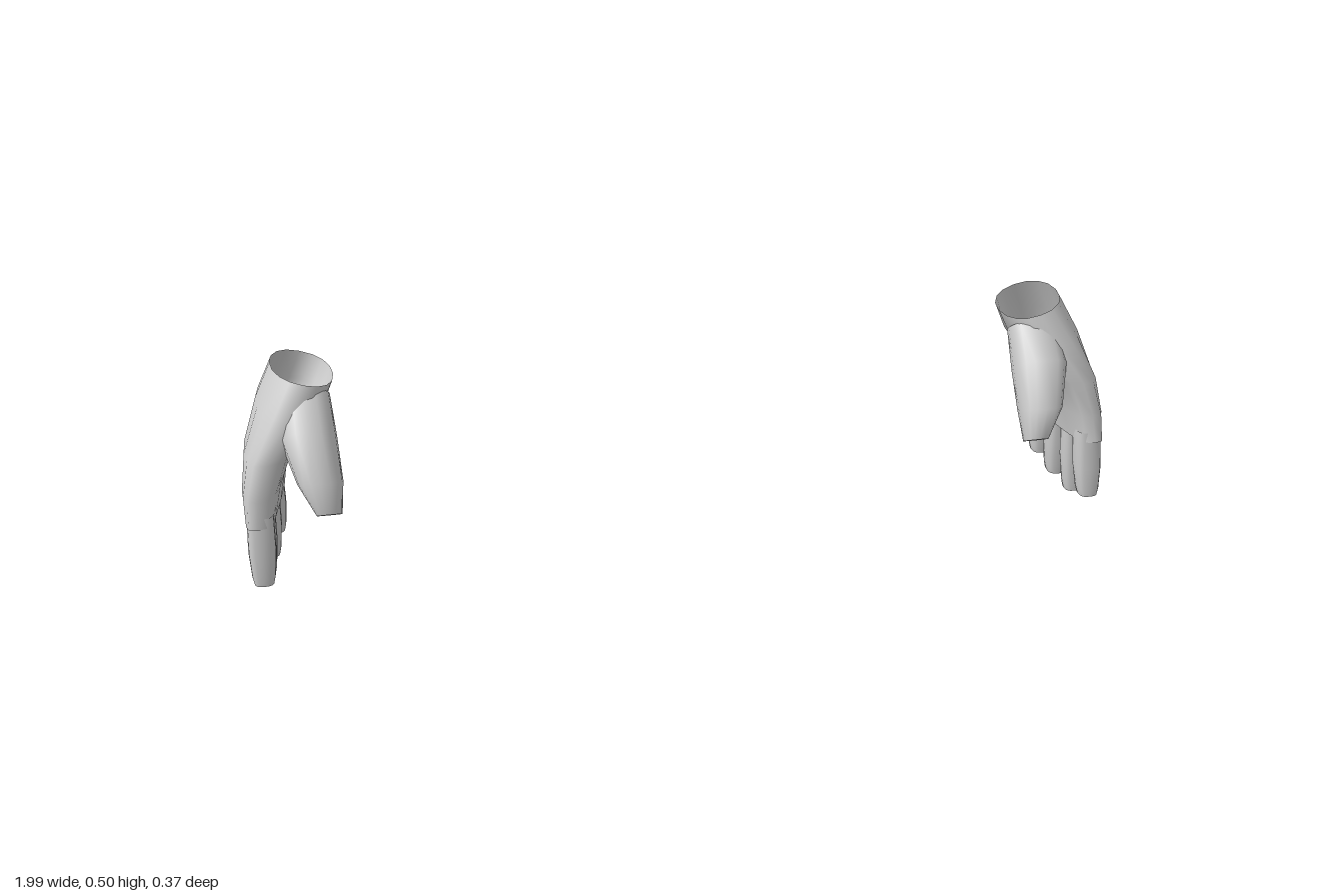
import * as THREE from 'three';

const SEG = 16;
const material = new THREE.MeshStandardMaterial({ color: 0xcccccc, side: THREE.DoubleSide });

// Rounded-square cross-section; p = 1 is an ellipse, smaller p is boxier.
const bend = (t, p) => Math.sign(t) * Math.pow(Math.abs(t), p);
function ring(p, place) {
  return Array.from({ length: SEG }, (_, i) => {
    const a = (i / SEG) * Math.PI * 2;
    return place(bend(Math.cos(a), p), bend(Math.sin(a), p));
  });
}

// Skin a run of rings (top to bottom) and close the last one with a flat cap.
function loft(name, rings, side) {
  const pos = [], index = [];
  const put = (v) => pos.push(v.x * side, v.y, v.z);
  const tri = (a, b, c) => (side > 0 ? index.push(a, b, c) : index.push(a, c, b));
  rings.forEach((r) => r.forEach(put));
  for (let j = 0; j < rings.length - 1; j++) {
    for (let i = 0; i < SEG; i++) {
      const a = j * SEG + i, b = j * SEG + ((i + 1) % SEG);
      tri(a, b, a + SEG);
      tri(b, b + SEG, a + SEG);
    }
  }
  const last = rings[rings.length - 1];
  const start = pos.length / 3;
  last.forEach(put);
  const mid = last.reduce((s, v) => s.add(v), new THREE.Vector3()).divideScalar(SEG);
  put(mid);
  for (let i = 0; i < SEG; i++) tri(start + i, start + ((i + 1) % SEG), start + SEG);
  const geo = new THREE.BufferGeometry();
  geo.setAttribute('position', new THREE.Float32BufferAttribute(pos, 3));
  geo.setIndex(index);
  geo.computeVertexNormals();
  const mesh = new THREE.Mesh(geo, material);
  mesh.name = name;
  return mesh;
}

// Palm sections: y, inner x, outer x, back z, front z, boxiness, lean of x with z, slope of y with x, slope of y with z
const PALM = [
  [0.482, 0.775, 0.912, -0.162, 0.035, 0.9, 0.0, 0.3, 0.04],
  [0.41, 0.805, 0.95, -0.175, 0.068, 0.85, 0.05, 0.2, 0.02],
  [0.325, 0.87, 0.982, -0.187, 0.092, 0.75, 0.1, 0, 0],
  [0.24, 0.9, 0.988, -0.186, 0.105, 0.65, 0.14, 0, 0.03],
  [0.172, 0.914, 0.982, -0.18, 0.118, 0.55, 0.15, 0, 0.07],
];

// Thumb sections: centre x, y, z, half width in x, half width across, direction across (y, z)
const THUMB = [
  [0.845, 0.435, -0.02, 0.058, 0.058, 0.6, 0.8],
  [0.842, 0.362, 0.05, 0.062, 0.064, 0.6, 0.8],
  [0.826, 0.288, 0.118, 0.05, 0.053, 0.4, 0.92],
  [0.812, 0.22, 0.145, 0.028, 0.03, 0.5, 0.86],
];

// Fingers: back and front z at the base, then at the tip, tip y, base x, tip x
const FINGERS = {
  indexFinger: [0.042, 0.11, 0.08, 0.126, 0.043, 0.962, 0.966],
  middleFinger: [-0.022, 0.036, 0.0, 0.043, 0.015, 0.958, 0.962],
  ringFinger: [-0.098, -0.03, -0.09, -0.037, 0.021, 0.946, 0.948],
  littleFinger: [-0.174, -0.106, -0.16, -0.111, 0.042, 0.934, 0.932],
};

function makeHand(name, side) {
  const hand = new THREE.Group();
  hand.name = name;

  // Palm, open at the wrist
  hand.add(loft('palm', PALM.map(([y, x0, x1, z0, z1, p, lean, sx, sz]) => {
    const zc = (z0 + z1) / 2;
    return ring(p, (c, s) => {
      const dx = (c * (x1 - x0)) / 2, dz = (s * (z1 - z0)) / 2;
      return new THREE.Vector3((x0 + x1) / 2 + dx + lean * dz, y + sx * dx + sz * dz, zc + dz);
    });
  }), side));

  // Thumb
  hand.add(loft('thumb', THUMB.map(([x, y, z, rx, rv, vy, vz]) =>
    ring(0.85, (c, s) => new THREE.Vector3(x + c * rx, y + s * rv * vy, z + s * rv * vz))), side));

  // Fingers, swelling slightly at the middle joint
  for (const [finger, [b0, b1, t0, t1, tipY, bx, tx]] of Object.entries(FINGERS)) {
    const baseY = 0.205;
    const rings = [[0, 0.03, 1], [0.55, 0.031, 1.12], [0.9, 0.026, 1.04], [1, 0.022, 0.98]].map(([t, rx, grow]) => {
      const z0 = THREE.MathUtils.lerp(b0, t0, t), z1 = THREE.MathUtils.lerp(b1, t1, t);
      const y = THREE.MathUtils.lerp(baseY, tipY, t), x = THREE.MathUtils.lerp(bx, tx, t);
      return ring(0.7, (c, s) => new THREE.Vector3(
        x + c * rx, y, (z0 + z1) / 2 + (s * grow * (z1 - z0)) / 2));
    });
    hand.add(loft(finger, rings, side));
  }
  return hand;
}

export function createModel() {
  const model = new THREE.Group();
  model.name = 'pairOfHands';
  const left = makeHand('leftHand', 1);
  const right = makeHand('rightHand', -1);
  // The right hand hangs a touch lower and further forward
  right.position.set(0, -0.013, 0.014);
  model.add(left, right);
  return model;
}
